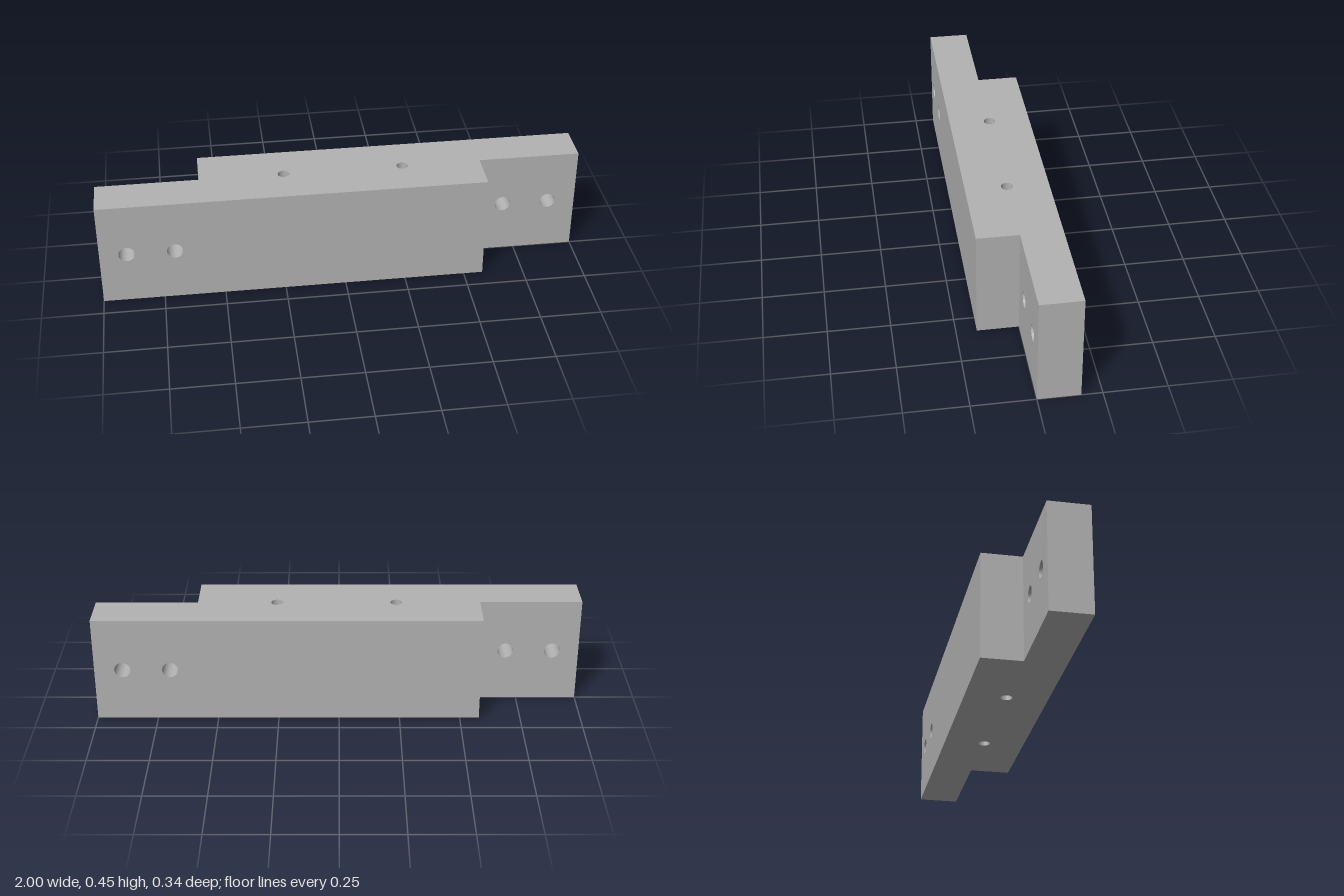
import * as THREE from 'three';

const H = 0.45, D = 0.168, S = 0.58, MID = H / 2;
const SIDE_R = 0.033, TOP_R = 0.024;
// Cross holes run front to back through the end tabs, pin holes run top to bottom
const CROSS_HOLES = [-0.89, -0.695, 0.69, 0.885];
const PIN_HOLES = [-0.235, 0.255];
// Plan outline as [x, z], starting at the front left corner
const OUTLINE = [[-1, D], [S, D], [S, 0], [1, 0], [1, -D], [-S, -D], [-S, 0], [-1, 0]];

export function createModel() {
  const group = new THREE.Group();
  const grey = new THREE.MeshStandardMaterial({ color: 0xb2b2b2 });
  grey.name = 'grey';

  const add = (name, geometry) => {
    const mesh = new THREE.Mesh(geometry, grey);
    mesh.name = name;
    group.add(mesh);
    return mesh;
  };

  // Flat face with round holes given as [x, y]
  const face = (points, holes, r) => {
    const shape = new THREE.Shape(points.map(([x, y]) => new THREE.Vector2(x, y)));
    for (const [x, y] of holes) {
      shape.holes.push(new THREE.Path().absarc(x, y, r, 0, Math.PI * 2, true));
    }
    return new THREE.ShapeGeometry(shape, 16);
  };

  // Inward-facing tube that lines a hole, centred on the origin along y
  const lining = (r, length) => new THREE.LatheGeometry(
    [new THREE.Vector2(r, length / 2), new THREE.Vector2(r, -length / 2)], 32);

  // Top and bottom
  const pins = PIN_HOLES.map((x) => [x, 0]);
  add('topFace', face(OUTLINE.map(([x, z]) => [x, -z]), pins, TOP_R).rotateX(-Math.PI / 2)).position.y = H;
  add('bottomFace', face(OUTLINE, pins, TOP_R).rotateX(Math.PI / 2));

  // Walls around the stepped outline
  OUTLINE.forEach(([ax, az], i) => {
    const [bx, bz] = OUTLINE[(i + 1) % OUTLINE.length];
    const dx = bx - ax, dz = bz - az, len = Math.hypot(dx, dz);
    const holes = CROSS_HOLES.map((x) => [(x - ax) * Math.sign(dx), MID])
      .filter(([u]) => u > 0 && u < len);
    const wall = add('wall' + (i + 1), face([[0, 0], [len, 0], [len, H], [0, H]], holes, SIDE_R));
    wall.position.set(ax, 0, az);
    wall.rotation.y = Math.atan2(-dz, dx);
  });

  // Hole linings
  for (const x of CROSS_HOLES) {
    add('crossHole', lining(SIDE_R, D).rotateX(Math.PI / 2)).position.set(x, MID, -Math.sign(x) * D / 2);
  }
  for (const x of PIN_HOLES) add('pinHole', lining(TOP_R, H)).position.set(x, MID, 0);

  return group;
}
